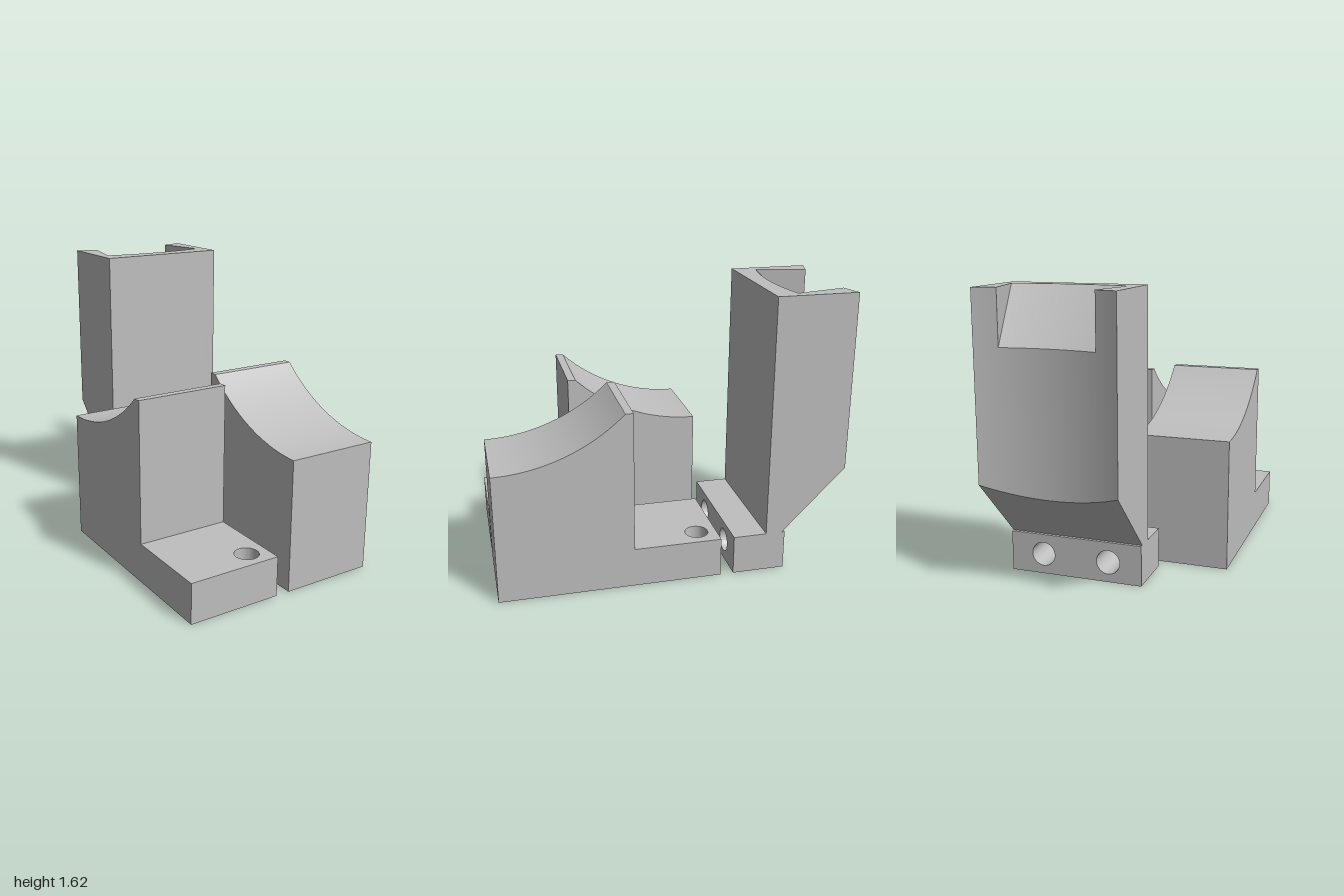
import * as THREE from 'three';
import { toCreasedNormals } from 'three/addons/utils/BufferGeometryUtils.js';

const BASE = 0.23; // thickness of every foot
const CREASE = 0.4;

export function createModel() {
  const group = new THREE.Group();
  const grey = new THREE.MeshStandardMaterial({ color: 0xbfbfbf });
  grey.name = 'plainGrey';

  const add = (name, geometry, parent = group) => {
    const mesh = new THREE.Mesh(toCreasedNormals(geometry, CREASE), grey);
    mesh.name = name;
    parent.add(mesh);
  };
  const polygon = (points) => new THREE.Shape(points.map(([x, y]) => new THREE.Vector2(x, y)));
  const rect = (x0, x1, y0, y1) => polygon([[x0, y0], [x1, y0], [x1, y1], [x0, y1]]);
  const drill = (shape, x, y, r) => {
    const hole = new THREE.Path();
    hole.absarc(x, y, r, 0, Math.PI * 2, true);
    shape.holes.push(hole);
  };
  const extrude = (shape, depth) =>
    new THREE.ExtrudeGeometry(shape, { depth, bevelEnabled: false, curveSegments: 24 });

  // Cradle blocks: concave top, thin crest and a drilled foot; the second is turned end for end
  function cradle(name, xMin, xMax, mapZ) {
    const block = new THREE.Group();
    block.name = name;
    const radius = 1.04, steps = 24;
    const profile = [[mapZ(0.235), 0], [mapZ(1), 0]];
    for (let i = 0; i <= steps; i++) {
      const d = 0.72 * i / steps;
      profile.push([mapZ(1 - d), 0.75 + radius - Math.sqrt(radius * radius - d * d)]);
    }
    profile.push([mapZ(0.235), 1.04]);
    const body = extrude(polygon(profile), xMax - xMin);
    body.rotateY(-Math.PI / 2).translate(xMax, 0, 0);
    add(name + 'Body', body, block);

    const za = mapZ(-0.27), zb = mapZ(0.235);
    const plate = rect(xMin, xMax, Math.min(za, zb), Math.max(za, zb));
    drill(plate, (xMin + xMax) / 2 + 0.15, mapZ(-0.155), 0.067);
    const foot = extrude(plate, BASE);
    foot.rotateX(Math.PI / 2).translate(0, BASE, 0);
    add(name + 'Foot', foot, block);
    group.add(block);
  }
  cradle('leftCradle', 0.04, 0.578, (z) => z);
  cradle('rightCradle', -0.578, -0.04, (z) => 0.73 - z);

  // Rear bracket foot with two horizontal bolt holes
  const cx = 0.191, half = 0.386;
  const bracket = new THREE.Group();
  bracket.name = 'rearBracket';
  group.add(bracket);
  const footShape = rect(cx - half, cx + half, 0, BASE);
  for (const s of [-1, 1]) drill(footShape, cx + s * half / 2, BASE / 2, 0.068);
  add('bracketFoot', extrude(footShape, 0.306).translate(0, 0, -0.653), bracket);

  // Rear column: hollow cylindrical back, sloped underside, conical notch at the top
  const R = 1.17, top = 1.62, front = -0.54;
  const cz = -1 - Math.sqrt(R * R - half * half); // axis of the hollow back
  const notchR = -0.635 - cz, notchAngle = 0.226, notchDepth = 0.3;
  const endAngle = Math.asin(half / R);
  const notchFront = (front - cz) * Math.tan(notchAngle);

  // One slice: foot front, slope start, back bottom, back top, notch root, top front
  function section(a, notched) {
    const bx = R * Math.sin(a), bz = cz + R * Math.cos(a);
    const t = (Math.abs(a) - notchAngle) / (endAngle - notchAngle);
    const fx = t <= 0 ? (front - cz) * Math.tan(a)
      : Math.sign(a) * THREE.MathUtils.lerp(notchFront, half, t);
    const at = (z, y) =>
      new THREE.Vector3(cx + bx + (fx - bx) * (z - bz) / (front - bz), y, z);
    const rootZ = cz + notchR * Math.cos(Math.min(Math.abs(a), notchAngle));
    return [
      at(front, BASE), at(-0.635, BASE), at(bz, BASE + (-0.635 - bz) * 1.014),
      at(bz, notched ? top - notchDepth : top), at(rootZ, top), at(front, top),
    ];
  }
  const sections = [];
  const sweep = (from, to, n, notched) => {
    for (let i = 0; i <= n; i++) sections.push(section(from + (to - from) * i / n, notched));
  };
  sweep(-endAngle, -notchAngle, 6, false);
  sweep(-notchAngle, notchAngle, 24, true);
  sweep(notchAngle, endAngle, 6, false);

  const positions = [];
  const triangle = (a, b, c) => {
    const area = b.clone().sub(a).cross(c.clone().sub(a)).length();
    if (area > 1e-7) for (const p of [a, b, c]) positions.push(p.x, p.y, p.z);
  };
  for (let i = 0; i < sections.length - 1; i++) {
    const p = sections[i], q = sections[i + 1];
    for (let j = 0; j < 6; j++) {
      const k = (j + 1) % 6;
      triangle(p[j], p[k], q[k]);
      triangle(p[j], q[k], q[j]);
    }
  }
  const first = sections[0], last = sections[sections.length - 1];
  for (let j = 1; j < 5; j++) {
    triangle(first[0], first[j + 1], first[j]);
    triangle(last[0], last[j], last[j + 1]);
  }
  const column = new THREE.BufferGeometry();
  column.setAttribute('position', new THREE.Float32BufferAttribute(positions, 3));
  add('bracketColumn', column, bracket);

  return group;
}
